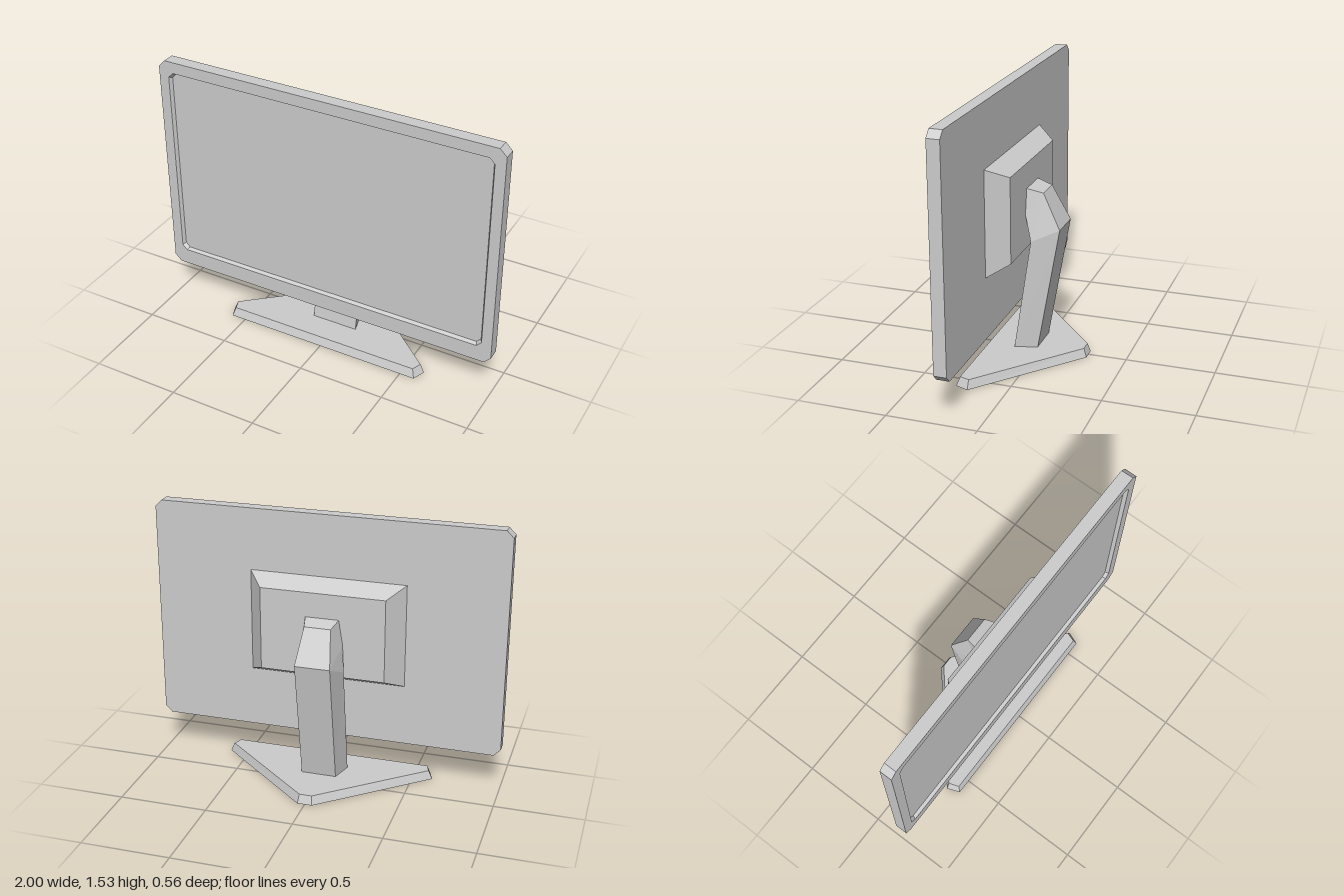
import * as THREE from 'three';

// Skins a list of rings (each counter-clockwise seen against the travel direction), with flat faces
function loft(rings, capStart = true, capEnd = true) {
  const pos = [];
  const tri = (...pts) => pts.forEach((p) => pos.push(...p));
  const n = rings[0].length;
  for (let i = 0; i < rings.length - 1; i++) {
    for (let j = 0; j < n; j++) {
      const k = (j + 1) % n;
      const a = rings[i][j], b = rings[i][k], c = rings[i + 1][k], d = rings[i + 1][j];
      tri(a, b, c);
      tri(a, c, d);
    }
  }
  const first = rings[0], last = rings[rings.length - 1];
  for (let j = 1; j < n - 1; j++) {
    if (capStart) tri(first[0], first[j + 1], first[j]);
    if (capEnd) tri(last[0], last[j], last[j + 1]);
  }
  const geo = new THREE.BufferGeometry();
  geo.setAttribute('position', new THREE.Float32BufferAttribute(pos, 3));
  geo.computeVertexNormals();
  return geo;
}

// Rectangle with cut corners, facing +z
function cutRect(w, y0, y1, c, z) {
  return [
    [w - c, y0, z], [w, y0 + c, z], [w, y1 - c, z], [w - c, y1, z],
    [c - w, y1, z], [-w, y1 - c, z], [-w, y0 + c, z], [c - w, y0, z],
  ];
}

// Mirrored ring from right-hand points listed front to back
function mirrorRing(points) {
  const left = points.map(([x, y, z]) => [-x, y, z]).reverse();
  return [...points, ...left];
}

export function createModel() {
  const group = new THREE.Group();
  const grey = new THREE.MeshStandardMaterial({ color: 0xcccccc });
  grey.name = 'light grey';

  const add = (name, geo) => {
    const mesh = new THREE.Mesh(geo, grey);
    mesh.name = name;
    group.add(mesh);
  };

  // Housing: back, outer front edge, bezel and sloped lip
  const screenRing = cutRect(0.931, 0.334, 1.457, 0.025, 0.208);
  add('housing', loft([
    cutRect(1, 0.23, 1.533, 0.038, 0.157),
    cutRect(1, 0.23, 1.533, 0.038, 0.228),
    cutRect(0.942, 0.324, 1.468, 0.028, 0.228),
    screenRing,
  ], true, false));

  // Recessed screen
  add('screen', loft([screenRing]));
  group.children[1].geometry = new THREE.ShapeGeometry(
    new THREE.Shape(screenRing.map(([x, y]) => new THREE.Vector2(x, y)))
  ).translate(0, 0, 0.208);

  // Tapered block behind the screen
  const rect = (w, y0, y1, z) => [[-w, y0, z], [w, y0, z], [w, y1, z], [-w, y1, z]];
  add('rearMount', loft([rect(0.355, 0.64, 1.12, 0.048), rect(0.445, 0.582, 1.178, 0.157)]));

  // Leaning neck with a bent head that meets the mount
  const neck = [
    [[0.135, 0.05, 0.11], [0.1, 0.05, -0.015]],
    [[0.135, 0.69, 0.013], [0.1, 0.76, -0.14]],
    [[0.118, 0.835, 0.048], [0.075, 0.955, -0.04]],
    [[0.095, 0.978, 0.048], [0.075, 0.955, -0.04]],
  ];
  add('neck', loft(neck.map(mirrorRing)));

  // Triangular foot with cut corners and sloped rim
  const foot = [
    [[0.585, 0, 0.28], [0.613, 0, 0.207], [0.042, 0, -0.282]],
    [[0.57, 0.05, 0.263], [0.59, 0.05, 0.207], [0.035, 0.05, -0.265]],
  ];
  add('foot', loft(foot.map(mirrorRing)));

  return group;
}
